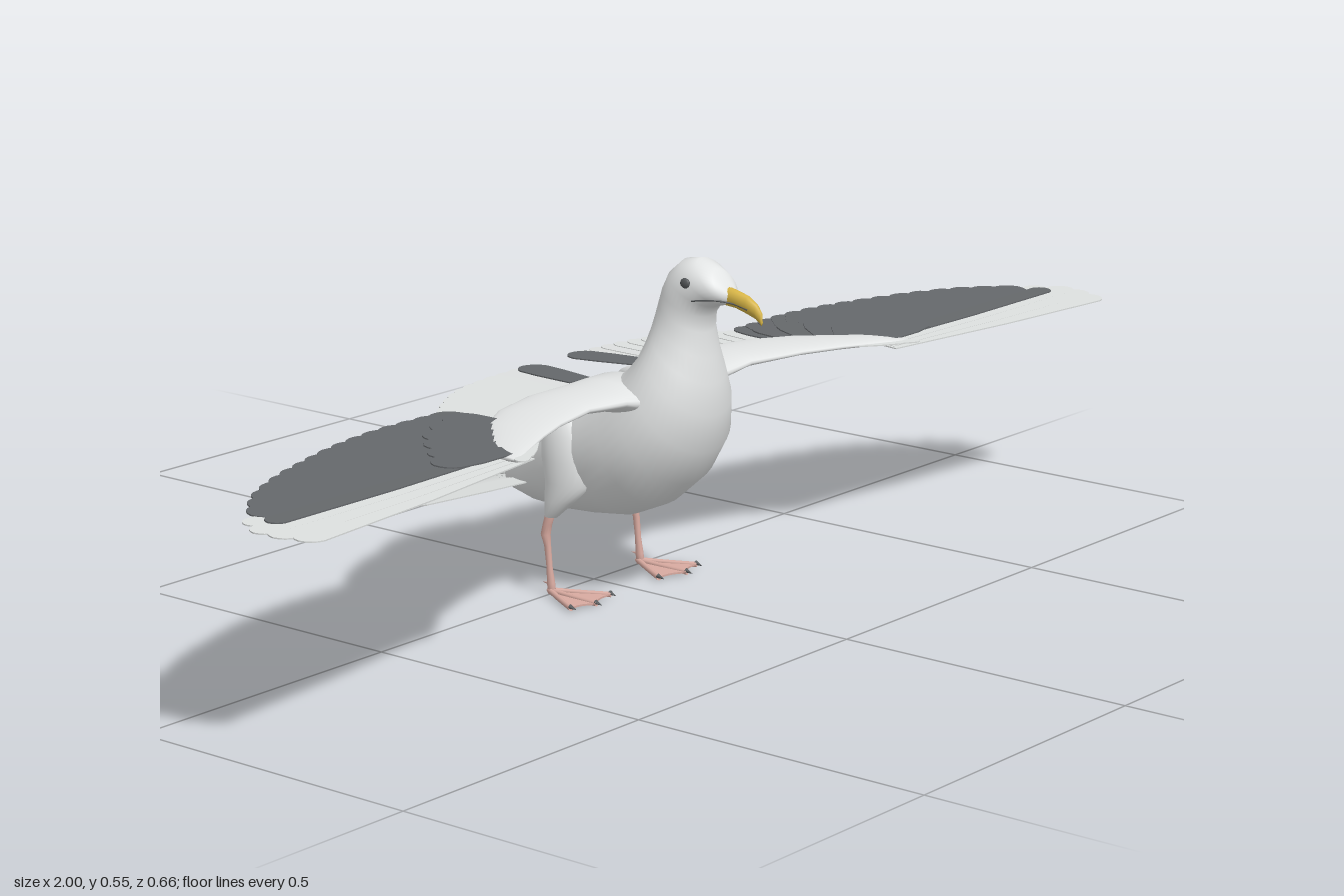
import * as THREE from 'three';

const V = (x, y, z) => new THREE.Vector3(x, y, z);
const mat = (name, color, side = THREE.FrontSide) => {
  const m = new THREE.MeshStandardMaterial({ color, side });
  m.name = name;
  return m;
};

// Skin over elliptical sections [centre, axisA, axisB]; A x B points along the loft
function loft(sections, n = 28) {
  const pos = [], idx = [], last = sections.length - 1;
  for (const [c, a, b] of sections) for (let j = 0; j < n; j++) {
    const t = (j / n) * Math.PI * 2;
    pos.push(...c.clone().addScaledVector(a, Math.cos(t)).addScaledVector(b, Math.sin(t)).toArray());
  }
  const c0 = pos.length / 3;
  pos.push(...sections[0][0].toArray(), ...sections[last][0].toArray());
  for (let j = 0; j < n; j++) {
    const k = (j + 1) % n, e = last * n;
    for (let i = 0; i < last; i++) {
      const p = i * n, q = p + n;
      idx.push(p + j, p + k, q + j, p + k, q + k, q + j);
    }
    idx.push(c0, k, j, c0 + 1, e + j, e + k);
  }
  const g = new THREE.BufferGeometry();
  g.setAttribute('position', new THREE.Float32BufferAttribute(pos, 3));
  g.setIndex(idx);
  g.computeVertexNormals();
  return g;
}

// Section from side outline points: bottom z,y, top z,y and half width
const slice = ([bz, by, tz, ty, w]) =>
  [V(0, (by + ty) / 2, (bz + tz) / 2), V(w, 0, 0), V(0, (ty - by) / 2, (tz - bz) / 2)];

// Section of a limb running downwards: centre x,y,z and radii in x and z
const limb = ([x, y, z, rx, rz]) => [V(x, y, z), V(rx, 0, 0), V(0, 0, rz)];

// Thin blade from root to tip
function feather(root, tip, w, roll = 0, rootW = 0.3) {
  const L = root.distanceTo(tip), s = new THREE.Shape();
  s.moveTo(0, -w * rootW);
  s.lineTo(L * 0.5, -w / 2);
  s.lineTo(L - w * 0.45, -w / 2);
  s.quadraticCurveTo(L - w * 0.05, -w * 0.4, L, 0);
  s.quadraticCurveTo(L - w * 0.05, w * 0.4, L - w * 0.45, w / 2);
  s.lineTo(L * 0.5, w / 2);
  s.lineTo(0, w * rootW);
  const g = new THREE.ExtrudeGeometry(s, { depth: 0.002, bevelEnabled: false, curveSegments: 4 });
  const u = tip.clone().sub(root).normalize();
  const v = V(0, 1, 0).cross(u).normalize();
  const m = new THREE.Matrix4().makeBasis(u, v, u.clone().cross(v)).setPosition(root);
  return g.rotateX(roll).applyMatrix4(m);
}

function add(group, name, geometry, material) {
  const mesh = new THREE.Mesh(geometry, material);
  mesh.name = name;
  group.add(mesh);
  return mesh;
}

// Mirrored copy across x = 0 with corner order restored
function mirror(group, name) {
  const out = new THREE.Group();
  out.name = name;
  for (const m of group.children) {
    const g = m.geometry.index ? m.geometry.toNonIndexed() : m.geometry.clone();
    g.scale(-1, 1, 1);
    for (const a of Object.values(g.attributes)) {
      const s = a.itemSize;
      for (let i = 0; i < a.count; i += 3) for (let k = 0; k < s; k++) {
        const p = (i + 1) * s + k, q = p + s, t = a.array[p];
        a.array[p] = a.array[q];
        a.array[q] = t;
      }
    }
    add(out, m.name, g, m.material);
  }
  return out;
}

export function createModel() {
  const white = mat('white plumage', 0xe2e4e4);
  const pale = mat('pale feathers', 0xdcdfde, THREE.DoubleSide);
  const dark = mat('dark feathers', 0x64676a, THREE.DoubleSide);
  const yellow = mat('bill yellow', 0xd6b446);
  const pink = mat('leg pink', 0xd8aaa0, THREE.DoubleSide);
  const grey = mat('eye grey', 0x55585a);
  const model = new THREE.Group();
  model.name = 'gull';

  // Body, neck and head in one skin, from rump to face
  const body = add(model, 'body', loft([
    [-0.172, 0.14, -0.173, 0.155, 0.012], [-0.15, 0.124, -0.16, 0.185, 0.036],
    [-0.10, 0.115, -0.115, 0.222, 0.06], [-0.04, 0.113, -0.06, 0.27, 0.084],
    [0.03, 0.118, -0.01, 0.307, 0.102], [0.09, 0.126, 0.035, 0.33, 0.113],
    [0.15, 0.152, 0.07, 0.35, 0.117], [0.2, 0.195, 0.1, 0.375, 0.113],
    [0.235, 0.25, 0.12, 0.40, 0.1], [0.247, 0.31, 0.13, 0.425, 0.082],
    [0.243, 0.36, 0.135, 0.445, 0.066], [0.236, 0.40, 0.139, 0.465, 0.054],
    [0.23, 0.44, 0.144, 0.485, 0.047], [0.232, 0.465, 0.15, 0.505, 0.045],
    [0.245, 0.482, 0.162, 0.53, 0.044], [0.262, 0.487, 0.185, 0.55, 0.041],
    [0.272, 0.49, 0.215, 0.555, 0.035], [0.276, 0.495, 0.245, 0.541, 0.025],
    [0.278, 0.502, 0.265, 0.52, 0.012],
  ].map(slice), 36), white);

  // Hooked bill
  const bill = add(model, 'bill', loft([
    [0.255, 0.488, 0.255, 0.518, 0.015], [0.285, 0.485, 0.283, 0.513, 0.011],
    [0.305, 0.479, 0.305, 0.507, 0.009], [0.322, 0.473, 0.322, 0.496, 0.007],
    [0.329, 0.467, 0.331, 0.484, 0.004], [0.331, 0.464, 0.333, 0.47, 0.0015],
  ].map(slice), 16), yellow);

  // Eye and mouth line laid on the surface of the head
  const ray = new THREE.Raycaster();
  const onFace = (y, z) => {
    ray.set(V(1, y, z), V(-1, 0, 0));
    const hit = ray.intersectObjects([body, bill])[0];
    return hit ? hit.point : V(0.01, y, z);
  };
  const face = new THREE.Group();
  face.name = 'leftFace';
  const e = onFace(0.521, 0.215);
  add(face, 'eye', new THREE.SphereGeometry(0.009, 16, 12).scale(0.5, 0.9, 1).translate(e.x, e.y, e.z), grey);
  const mouth = [[0.494, 0.225], [0.497, 0.245], [0.497, 0.265], [0.493, 0.285], [0.487, 0.31]];
  add(face, 'mouthLine', new THREE.TubeGeometry(
    new THREE.CatmullRomCurve3(mouth.map(([y, z]) => onFace(y, z))), 24, 0.0013, 6), grey);
  model.add(face, mirror(face, 'rightFace'));

  // Tail fan
  const tail = new THREE.Group();
  tail.name = 'tail';
  for (let i = 0; i < 12; i++) {
    const a = ((i - 5.5) / 5.5) * 0.8, r = 0.28 - 0.028 * (a / 0.8) ** 2;
    const y = 0.176 - 0.0007 * Math.abs(i - 5.4);
    const z = r * Math.cos(a);
    add(tail, 'tailFeather', feather(V(0, y, -0.05), V(r * Math.sin(a), y - 0.286 * z, -0.05 - z), 0.05), pale);
  }
  model.add(tail);

  // Wing: padded arm, then rows of feathers
  const wing = new THREE.Group();
  wing.name = 'leftWing';
  add(wing, 'wingArm', loft([
    [0.03, 0.02, 0.18, 0.33, 0.03], [0.085, 0.02, 0.178, 0.332, 0.026],
    [0.12, 0.028, 0.167, 0.338, 0.017], [0.2, 0.033, 0.16, 0.342, 0.012],
    [0.3, 0.06, 0.187, 0.344, 0.009], [0.37, 0.10, 0.213, 0.344, 0.008],
    [0.45, 0.175, 0.248, 0.343, 0.006], [0.49, 0.22, 0.268, 0.341, 0.003],
  ].map(([x, z0, z1, y, h]) => [V(x, y, (z0 + z1) / 2), V(0, h, 0), V(0, 0, (z1 - z0) / 2)]), 24), white);

  const rows = (name, n, roots, tips, w, y0, material) => {
    const [r, t] = [roots, tips].map((p) => new THREE.CatmullRomCurve3(p.map(([x, z]) => V(x, 0, z))));
    for (let i = 0; i < n; i++) {
      const k = i / (n - 1), y = y0 - 0.0003 * i;
      const root = r.getPointAt(k).setY(y), tip = t.getPointAt(k).setY(y + 0.001);
      add(wing, name, feather(root, tip, w, 0.05), material);
    }
  };
  rows('secondaryFeather', 11, [[0.09, 0.06], [0.22, 0.06], [0.34, 0.11]],
    [[0.085, -0.1], [0.16, -0.097], [0.235, -0.083], [0.31, -0.045], [0.355, -0.012]], 0.046, 0.341, pale);
  rows('flightFeather', 16, [[0.355, 0.10], [0.41, 0.15], [0.47, 0.21]],
    [[0.38, -0.005], [0.53, 0], [0.63, 0.018], [0.72, 0.045], [0.8, 0.073], [0.89, 0.12], [0.94, 0.165]],
    0.058, 0.342, dark);
  // Dark coverts closing the hand
  rows('covertFeather', 6, [[0.36, 0.11], [0.42, 0.17], [0.465, 0.225]],
    [[0.39, 0.03], [0.48, 0.07], [0.6, 0.2]], 0.06, 0.346, dark);

  // Long outer primaries: root x,z, tip x,z, width, height
  for (const [rx, rz, tx, tz, w, y, m] of [
    [0.47, 0.212, 0.975, 0.19, 0.04, 0.3365, pale], [0.47, 0.215, 0.955, 0.213, 0.036, 0.34, dark],
    [0.46, 0.228, 0.998, 0.228, 0.045, 0.337, pale], [0.455, 0.238, 0.995, 0.262, 0.05, 0.336, pale],
    [0.45, 0.246, 0.982, 0.298, 0.052, 0.335, pale],
  ]) add(wing, 'primaryFeather', feather(V(rx, y, rz), V(tx, y, tz), w, 0.03), m);

  // Short thumb feathers on the leading edge
  for (const d of [0, 0.025])
    add(wing, 'thumbFeather', feather(V(0.4 + d, 0.342, 0.22 + d / 2), V(0.47 + d, 0.342, 0.262 + d / 2), 0.022), pale);
  // Dark shoulder feather lying over the back
  add(wing, 'shoulderFeather', feather(V(0.078, 0.3465, 0.038), V(0.056, 0.344, -0.098), 0.055, 0, 0.42), dark);
  model.add(wing, mirror(wing, 'rightWing'));

  // Leg with feathered thigh and webbed foot
  const leg = new THREE.Group();
  leg.name = 'leftLeg';
  add(leg, 'thigh', loft([
    [0.08, 0.29, 0.0, 0.012, 0.02], [0.085, 0.26, 0.012, 0.025, 0.045], [0.088, 0.22, 0.022, 0.03, 0.05],
    [0.095, 0.185, 0.028, 0.026, 0.044], [0.103, 0.155, 0.016, 0.019, 0.027], [0.108, 0.128, 0.003, 0.009, 0.011],
  ].map(limb), 20), white);
  add(leg, 'shank', loft([
    [0.108, 0.14, 0.004, 0.007, 0.009], [0.109, 0.115, -0.004, 0.007, 0.008], [0.11, 0.098, -0.007, 0.008, 0.008],
    [0.11, 0.08, -0.003, 0.005, 0.006], [0.11, 0.045, 0.001, 0.005, 0.005], [0.11, 0.02, 0.004, 0.006, 0.007],
    [0.11, 0.003, 0.006, 0.006, 0.007],
  ].map(limb), 12), pink);
  const toes = [[0.06, 0.085], [0.113, 0.1], [0.157, 0.085]];
  const web = new THREE.Shape();
  web.moveTo(0.11, 0);
  web.lineTo(...toes[0]);
  web.quadraticCurveTo(0.09, 0.078, ...toes[1]);
  web.quadraticCurveTo(0.133, 0.078, ...toes[2]);
  add(leg, 'web', new THREE.ExtrudeGeometry(web, { depth: 0.003, bevelEnabled: false })
    .rotateX(Math.PI / 2).scale(1, -1, 1).translate(0, 0.003, 0).toNonIndexed(), pink);
  for (const [x, z] of toes) {
    const path = new THREE.CatmullRomCurve3([V(0.11, 0.008, 0), V((x + 0.11) / 2, 0.006, z / 2), V(x, 0.005, z)]);
    add(leg, 'toe', new THREE.TubeGeometry(path, 8, 0.0045, 8), pink);
    add(leg, 'claw', new THREE.ConeGeometry(0.004, 0.014, 8).rotateX(Math.PI / 2 + 0.25).translate(x, 0.006, z + 0.004), grey);
  }
  add(leg, 'hindToe', new THREE.ConeGeometry(0.004, 0.02, 8).rotateX(-Math.PI / 2).translate(0.11, 0.019, -0.004), pink);
  model.add(leg, mirror(leg, 'rightLeg'));

  return model;
}
